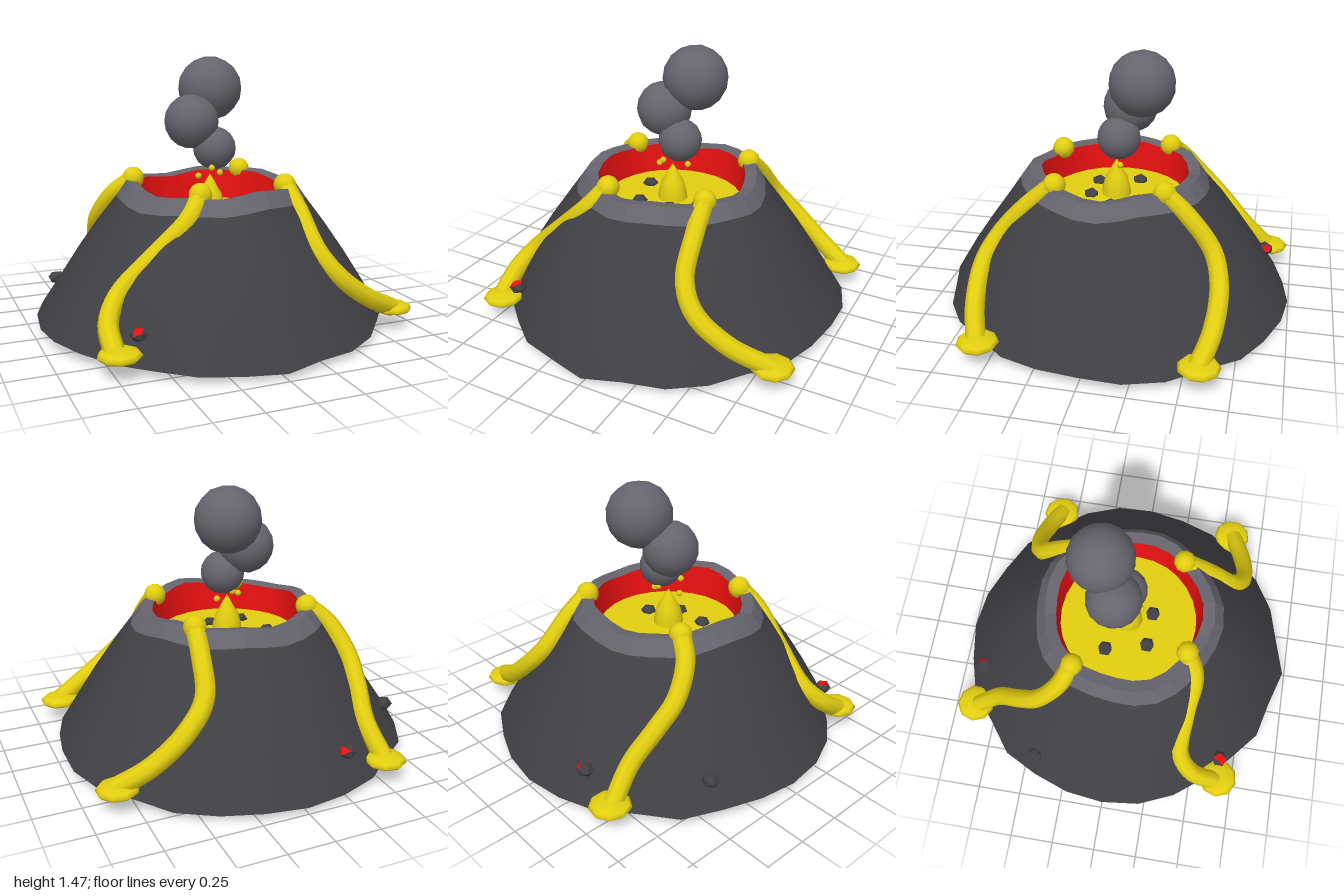
import * as THREE from 'three';
import { mergeVertices } from 'three/addons/utils/BufferGeometryUtils.js';

const SEGMENTS = 28;
// uneven outline of the foot, anticlockwise from the front
const FOOT = [0.99, 0.95, 0.965, 0.965, 0.95, 0.975, 0.97, 0.98, 1, 1, 0.98, 1, 0.985, 0.995,
  1, 0.99, 1, 0.97, 1, 0.98, 0.98, 0.98, 0.98, 0.965, 0.943, 0.94, 0.97, 0.95];

export function createModel() {
  const group = new THREE.Group();
  const colour = (name, hex, flat = false) => {
    const m = new THREE.MeshStandardMaterial({ color: hex, flatShading: flat });
    m.name = name;
    return m;
  };
  const rock = colour('dark rock', 0x403f44);
  const ash = colour('grey ash', 0x66646d);
  const lava = colour('yellow lava', 0xe2ce10);
  const ember = colour('red ember', 0xe81010);
  ember.side = THREE.DoubleSide;

  const add = (name, geometry, material, pos = [0, 0, 0]) => {
    const mesh = new THREE.Mesh(geometry, material);
    mesh.name = name;
    mesh.position.set(...pos);
    group.add(mesh);
    return mesh;
  };

  // lathe whose vertices are moved by an uneven rule; sharp = faceted
  const roughLathe = (profile, sharp = false) => {
    let g = new THREE.LatheGeometry(profile.map(p => new THREE.Vector2(...p)), SEGMENTS);
    const p = g.attributes.position;
    for (let k = 0; k < p.count; k++) {
      const i = Math.floor(k / profile.length) % SEGMENTS;
      const [r0, y0] = profile[k % profile.length];
      const a = i / SEGMENTS * Math.PI * 2;
      const low = THREE.MathUtils.clamp((0.5 - y0) / 0.45, 0, 1);
      const high = y0 > 0.69 ? 1 : 0;
      const r = r0 * (1 + (FOOT[i] - 1) * low + high * 0.02 * Math.sin(a * 5 + 1));
      let y = y0 + high * (0.012 * Math.sin(a * 3 + 0.6) + 0.008 * Math.sin(a * 7));
      if (r0 > 0.95 && y0 < 0.08) y += 0.014 * Math.sin(a * 2 - 1.2) + 0.006 * Math.sin(a * 9);
      p.setXYZ(k, Math.sin(a) * r, y, Math.cos(a) * r);
    }
    g.deleteAttribute('uv');
    g.deleteAttribute('normal');
    g = mergeVertices(g, 1e-4);
    if (sharp) g = g.toNonIndexed();
    g.computeVertexNormals();
    return g;
  };

  // mountain, foot, rim and crater
  add('slope', roughLathe([[0.995, 0.045], [0.86, 0.25], [0.75, 0.41], [0.635, 0.57], [0.53, 0.705]]), rock);
  add('underside', roughLathe([[0, 0], [0.88, 0.01], [0.995, 0.045]]), rock);
  add('craterRim', roughLathe([[0.53, 0.705], [0.475, 0.785], [0.41, 0.775]], true), ash);
  add('craterWall', roughLathe([[0.41, 0.775], [0.385, 0.58]]), ember);
  add('lavaLake', roughLathe([[0.39, 0.615], [0, 0.625]]), lava);

  // lava spout and droplets
  const spout = [[0.085, 0.6], [0.08, 0.66], [0.065, 0.72], [0.04, 0.76], [0.025, 0.79], [0, 0.83]];
  add('lavaSpout', new THREE.LatheGeometry(spout.map(p => new THREE.Vector2(...p)), 10), lava);
  for (const pos of [[-0.075, 0.825, 0.015], [0.075, 0.825, -0.035], [-0.02, 0.875, 0.075], [0, 0.87, -0.075]])
    add('lavaDroplet', new THREE.IcosahedronGeometry(0.018, 1), lava, pos);

  // smoke puffs
  for (const [x, y, z, r] of [[0.06, 1.292, -0.15, 0.18], [-0.085, 1.12, -0.062, 0.152], [0.035, 0.97, -0.02, 0.12]]) {
    const g = new THREE.IcosahedronGeometry(r, 2);
    add('smokePuff', g, ash, [x, y, z]);
  }

  // lava streams: path points, then the pool at the end
  const streams = [
    [[[-0.2, 0.79, 0.36], [-0.29, 0.68, 0.42], [-0.48, 0.5, 0.41], [-0.66, 0.33, 0.41], [-0.74, 0.22, 0.5], [-0.75, 0.12, 0.64]], [-0.73, 0.66]],
    [[[0.33, 0.79, 0.27], [0.345, 0.66, 0.42], [0.37, 0.49, 0.57], [0.46, 0.36, 0.64], [0.65, 0.22, 0.63], [0.85, 0.12, 0.56]], [0.855, 0.55]],
    [[[0.32, 0.79, -0.32], [0.34, 0.68, -0.45], [0.38, 0.51, -0.59], [0.5, 0.37, -0.64], [0.68, 0.22, -0.63], [0.85, 0.12, -0.58]], [0.84, -0.585]],
    [[[-0.37, 0.79, -0.25], [-0.47, 0.7, -0.31], [-0.53, 0.55, -0.43], [-0.52, 0.43, -0.55], [-0.49, 0.27, -0.7], [-0.52, 0.12, -0.84]], [-0.52, -0.86]],
  ];
  for (const [path, [px, pz]] of streams) {
    const curve = new THREE.CatmullRomCurve3(path.map(p => new THREE.Vector3(...p)));
    add('lavaStream', new THREE.TubeGeometry(curve, 24, 0.053, 8), lava);
    add('streamHead', new THREE.SphereGeometry(0.063, 10, 8), lava, path[0]);
    const pool = add('lavaPool', new THREE.SphereGeometry(0.112, 9, 6), lava, [px, 0.115, pz]);
    pool.scale.y = 0.3;
  }

  // loose stones; faces turned towards the glow direction are red
  const stone = (pos, r, glow) => {
    const g = new THREE.IcosahedronGeometry(r, 0);
    const n = g.attributes.normal;
    for (let i = 0; i < n.count; i += 3) {
      const normal = new THREE.Vector3().fromBufferAttribute(n, i);
      g.addGroup(i, 3, glow && normal.dot(glow) > 0.75 ? 1 : 0);
    }
    const mesh = add('stone', g, [rock, ember], pos);
    mesh.scale.y = 0.75;
  };
  for (const [x, z] of [[-0.14, 0.13], [0.05, 0.135], [0.17, 0], [-0.2, -0.1]]) stone([x, 0.625, z], 0.045);
  stone([-0.63, 0.2, 0.65], 0.048, new THREE.Vector3(-0.1, 0.95, 0.3).normalize());
  stone([-0.3, 0.2, -0.84], 0.052, new THREE.Vector3(0.75, 0.65, 0).normalize());
  stone([-0.79, 0.2, -0.43], 0.05);
  return group;
}
